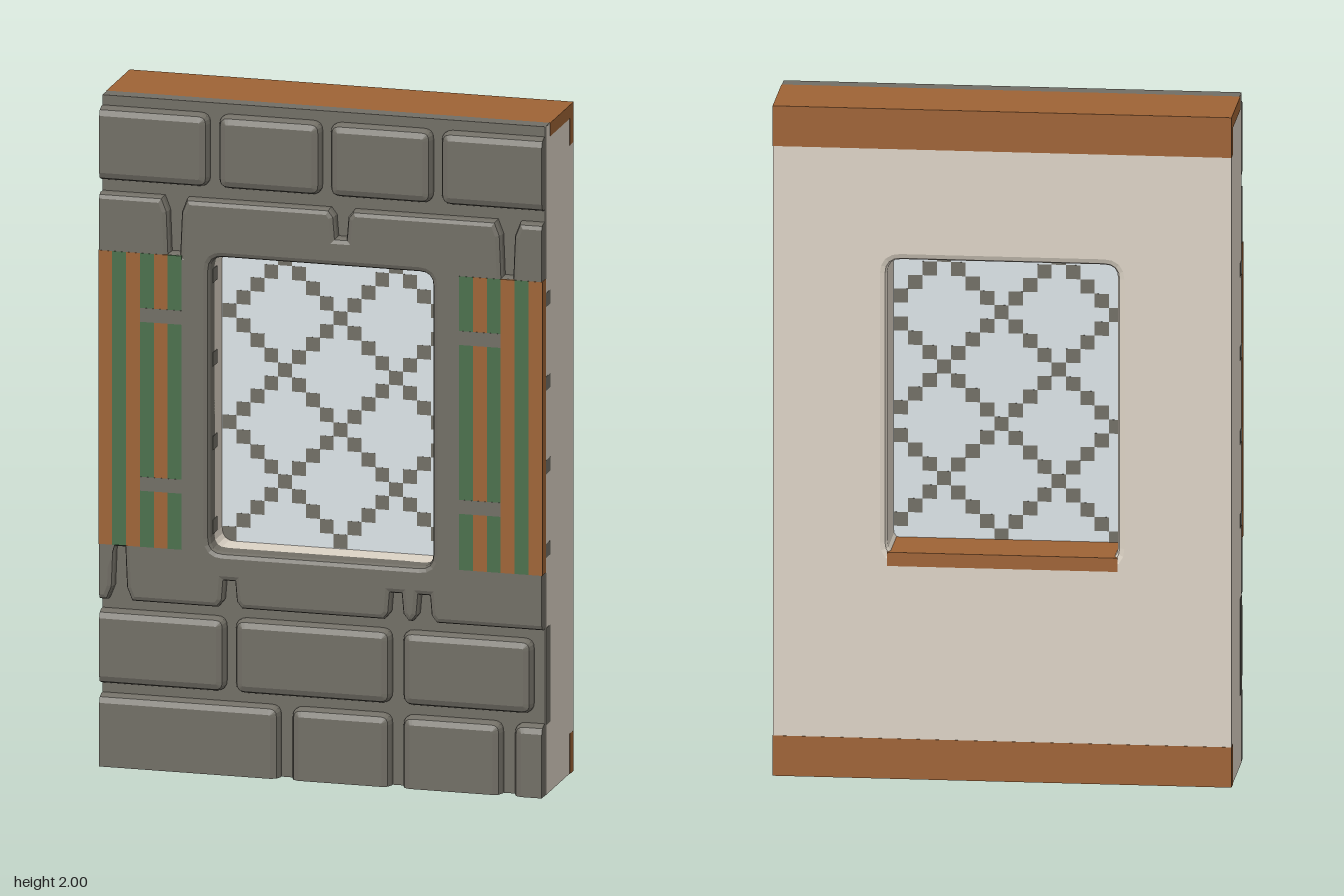
import * as THREE from 'three';
import { mergeGeometries } from 'three/addons/utils/BufferGeometryUtils.js';

const material = (name, color) => new THREE.MeshStandardMaterial({ name, color });
const PX = 1 / 24;                       // grid step of the painted details
const WIN = [-0.335, 0.665, 0.335, 1.547]; // window opening x0, y0, x1, y1
const PANEL = [-0.75, -0.08, 0.75, 2.08];  // oversize panel, cut back by slab()

// Rounded rectangle, as a Shape or as a hole Path
function roundRect(x0, y0, x1, y1, r, Type = THREE.Shape) {
  const s = new Type();
  s.moveTo(x0 + r, y0);
  s.lineTo(x1 - r, y0); s.quadraticCurveTo(x1, y0, x1, y0 + r);
  s.lineTo(x1, y1 - r); s.quadraticCurveTo(x1, y1, x1 - r, y1);
  s.lineTo(x0 + r, y1); s.quadraticCurveTo(x0, y1, x0, y1 - r);
  s.lineTo(x0, y0 + r); s.quadraticCurveTo(x0, y0, x0 + r, y0);
  return s;
}

// Bevelled slab between z0 and z1, cut off flat at the sides of the panel
function slab(shape, z0, z1, bevel, limit) {
  const g = new THREE.ExtrudeGeometry(shape, {
    depth: z1 - z0 - 2 * bevel, bevelEnabled: bevel > 0, bevelThickness: bevel,
    bevelSize: bevel, bevelOffset: -bevel, bevelSegments: 2, curveSegments: 4,
  });
  g.translate(0, 0, z0 + bevel);
  const p = g.attributes.position;
  for (let i = 0; i < p.count; i++) {
    p.setX(i, THREE.MathUtils.clamp(p.getX(i), -limit, limit));
    p.setY(i, THREE.MathUtils.clamp(p.getY(i), 0.001, 1.999));
  }
  g.computeVertexNormals();
  return g;
}

function box(x0, x1, y0, y1, z0, z1) {
  const g = new THREE.BoxGeometry(Math.abs(x1 - x0), y1 - y0, z1 - z0);
  return g.translate((x0 + x1) / 2, (y0 + y1) / 2, (z0 + z1) / 2);
}

export function createModel() {
  const root = new THREE.Group();
  const stone = material('grey stone', 0x716e65);
  const plaster = material('cream plaster', 0xdcd3c5);
  const wood = material('brown wood', 0x9e6335);
  const green = material('green paint', 0x4a6f4c);
  const pane = material('pale glass', 0xdee6ea);
  const add = (name, mat, ...parts) => {
    const m = new THREE.Mesh(parts.length > 1 ? mergeGeometries(parts) : parts[0], mat);
    m.name = name;
    root.add(m);
  };

  // Plaster wall with the window opening
  const wall = roundRect(...PANEL, 0.04);
  wall.holes.push(roundRect(...WIN, 0.04, THREE.Path));
  add('plasterWall', plaster, slab(wall, -0.1655, 0.126, 0.02, 0.6658));

  // Stone backing seen in the mortar joints, plus its top and bottom edges
  const backing = roundRect(...PANEL, 0.04);
  backing.holes.push(roundRect(-0.345, 0.655, 0.345, 1.557, 0.04, THREE.Path));
  add('mortarBacking', stone, slab(backing, 0.12, 0.128, 0, 0.6645));
  add('stoneEdges', stone,
    box(-0.6645, 0.6645, 1.992, 2, 0.08, 0.128),
    box(-0.6645, 0.6645, 0, 0.008, -0.125, 0.128));

  // Middle stone field around the window, with notched joints [x, end]
  const field = new THREE.Shape();
  const notch = (x, y, end, dir) => {
    field.lineTo(x - dir * 0.036, y);
    field.lineTo(x - dir * 0.02, y + (end - y) * 0.25);
    field.lineTo(x - dir * 0.015, end);
    field.lineTo(x + dir * 0.015, end);
    field.lineTo(x + dir * 0.02, y + (end - y) * 0.25);
    field.lineTo(x + dir * 0.036, y);
  };
  field.moveTo(-0.75, 0.5);
  for (const [x, end] of [[-0.605, 0.66], [-0.275, 0.58], [0.225, 0.58], [0.31, 0.58]]) {
    notch(x, 0.5, end, 1);
  }
  field.lineTo(0.75, 0.5);
  field.lineTo(0.75, 1.715);
  for (const [x, end] of [[0.56, 1.55], [0.06, 1.63], [-0.44, 1.55]]) notch(x, 1.715, end, -1);
  field.lineTo(-0.75, 1.715);
  field.holes.push(roundRect(...WIN, 0.04, THREE.Path));
  add('windowStonework', stone, slab(field, 0.086, 0.165, 0.016, 0.6645));

  // Courses of separate stones
  const courses = [
    [1.752, 1.97, [[-0.75, -0.34], [-0.31, -0.003], [0.025, 0.33], [0.358, 0.75]]],
    [0.247, 0.468, [[-0.75, -0.29], [-0.26, 0.207], [0.243, 0.632]]],
    [-0.08, 0.215, [[-0.75, -0.127], [-0.09, 0.207], [0.243, 0.54], [0.578, 0.75]]],
  ];
  for (const [y0, y1, spans] of courses) {
    for (const [x0, x1] of spans) {
      add('courseStone', stone, slab(roundRect(x0, y0, x1, y1, 0.03), 0.1, 0.165, 0.024, 0.6645));
    }
  }

  // Stone keys running through the jambs and along the lower sides
  for (const s of [-1, 1]) {
    const keys = [0.71, 0.96, 1.21, 1.46].map((y) =>
      box(s * 0.3335, s * 0.6664, y, y + PX, 0.08, 0.125));
    keys.push(box(s * 0.6, s * 0.6664, 0.21, 0.5, 0.08, 0.125));
    add('sideKeys', stone, ...keys);
  }

  // Striped shutter panels with grey cross bars
  for (const s of [-1, 1]) {
    const strips = [[], []];
    for (let i = 0; i < 6; i++) {
      const outer = 0.6665 - i * PX;
      strips[i % 2].push(box(s * outer, s * (outer - PX), 0.667, 1.545, i ? 0.16 : 0.126, 0.1663));
    }
    add('shutterBoards', wood, ...strips[0]);
    add('shutterStripes', green, ...strips[1]);
    add('shutterBars', stone, ...[0.835, 1.34].map((y) =>
      box(s * 0.5415, s * 0.4165, y, y + PX, 0.16, 0.1672)));
  }

  // Window pane and stepped diagonal lattice
  add('windowPane', pane, box(-0.336, 0.336, 0.664, 1.548, 0.016, 0.024));
  const lattice = [];
  for (let i = 0; i < 16; i++) {
    for (let j = 0; j < 21; j++) {
      if ((i + j) % 8 && (i - j) % 8) continue;
      const x = -1 / 3 + i * PX, y = 2 / 3 + j * PX;
      lattice.push(box(x, x + PX, y, y + PX, 0.0155, 0.0245));
    }
  }
  add('windowLattice', stone, ...lattice);

  // Wooden sill at the back and the top and bottom beams
  add('windowSill', wood, box(-0.335, 0.335, 0.635, 0.676, -0.1663, 0.014));
  add('topBeam', wood,
    box(-0.6667, 0.6667, 1.96, 2, -0.1665, 0.08),
    box(-0.6667, 0.6667, 1.88, 1.96, -0.1665, -0.125));
  add('bottomBeam', wood, box(-0.6667, 0.6667, 0, 0.12, -0.1665, -0.125));
  return root;
}
